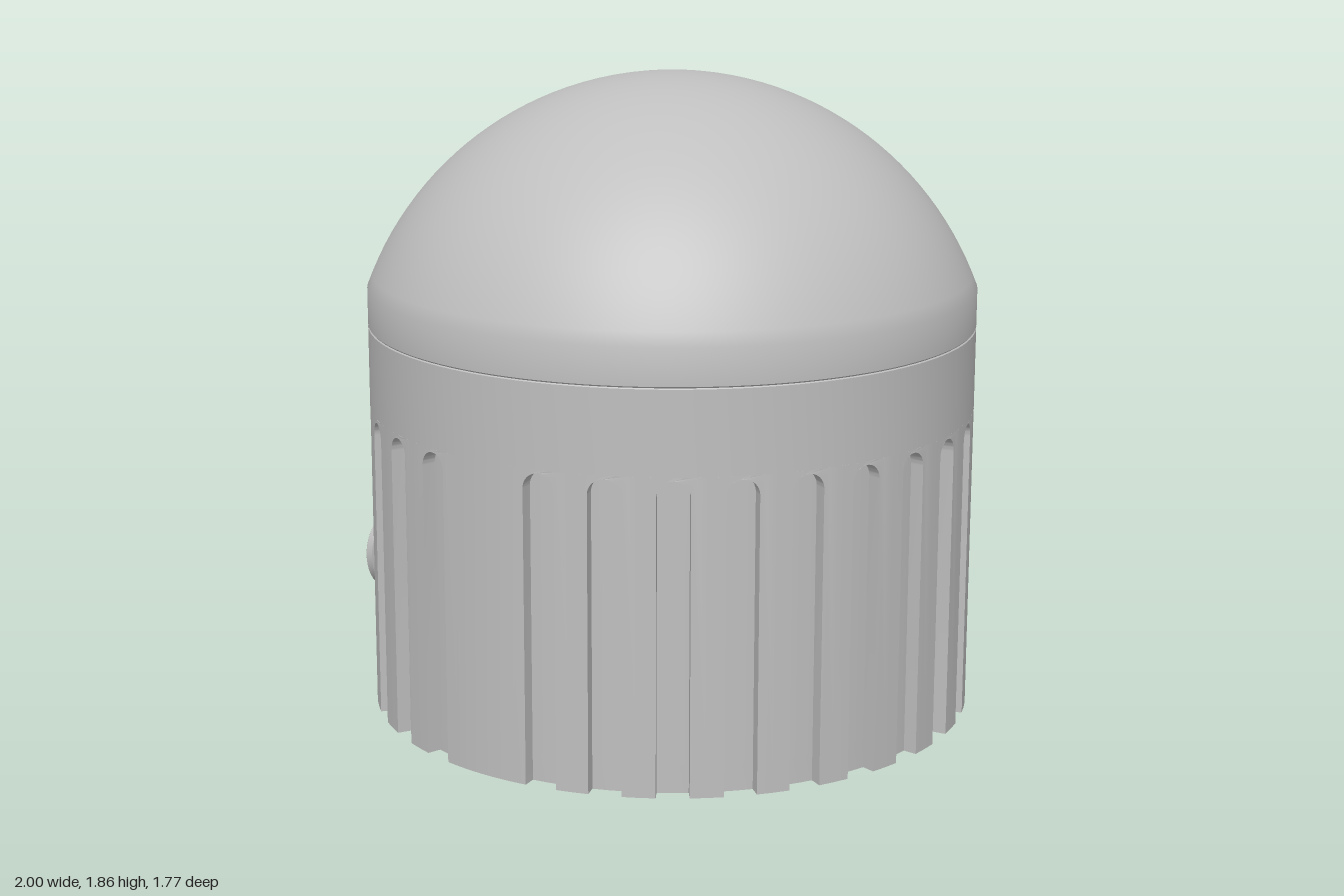
import * as THREE from 'three';
import { mergeGeometries, toCreasedNormals } from 'three/addons/utils/BufferGeometryUtils.js';

const CX = 0.113;          // housing axis
const R = 0.887;           // housing radius
const CORE = 0.847;        // slot floor radius
const FLAT_X = -0.755;     // flat mounting face on the connector side
const WALL_H = 0.9;
const STEP = Math.PI / 15; // 30 cells around

const V = (x, y) => new THREE.Vector2(x, y);

export function createModel() {
  const model = new THREE.Group();
  const grey = new THREE.MeshStandardMaterial({ color: 0xbfbfbf });
  grey.name = 'light grey';

  const add = (name, geo, x = CX, y = 0, z = 0) => {
    const mesh = new THREE.Mesh(geo, grey);
    mesh.name = name;
    mesh.position.set(x, y, z);
    model.add(mesh);
    return mesh;
  };
  const lathe = (pts, seg) => toCreasedNormals(new THREE.LatheGeometry(pts.map(p => V(...p)), seg), 0.5);
  // Turned part whose axis points out along -x
  const sideLathe = (name, pts, seg, x, y) => {
    add(name, lathe(pts, seg), x, y).rotation.z = Math.PI / 2;
  };

  // Wall cells: a slotted panel or a plain one, bent round the axis
  const w = (R * STEP) / 2, s = 0.046, depth = R - CORE + 0.002;
  const slotted = new THREE.Shape();
  slotted.moveTo(-w, 0);
  slotted.lineTo(-s, 0);
  slotted.lineTo(-s, 0.89 - s);
  slotted.absarc(0, 0.89 - s, s, Math.PI, 0, true);
  slotted.lineTo(s, 0);
  slotted.lineTo(w, 0);
  for (let i = 0; i <= 6; i++) slotted.lineTo(w - (i * w) / 3, WALL_H);

  const bend = (geo, phi) => {
    const p = geo.attributes.position;
    for (let i = 0; i < p.count; i++) {
      const a = phi + p.getX(i) / R, r = R - depth + p.getZ(i);
      p.setXYZ(i, Math.max(r * Math.sin(a), FLAT_X - CX), p.getY(i), r * Math.cos(a));
    }
    return geo;
  };
  const cells = [];
  for (let k = 0; k < 30; k++) {
    const plain = [0, 15, 22, 23].includes(k);
    const geo = plain
      ? new THREE.BoxGeometry(2 * w, WALL_H, depth, 6, 1, 1).translate(0, WALL_H / 2, depth / 2).toNonIndexed()
      : new THREE.ExtrudeGeometry(slotted, { depth, bevelEnabled: false, curveSegments: 12 });
    cells.push(bend(geo, k * STEP));
  }
  add('slottedWall', toCreasedNormals(mergeGeometries(cells), 0.4));

  // Inner core forming the slot floors
  add('core', new THREE.CylinderGeometry(CORE, CORE, WALL_H - 0.08, 120), CX, 0.08 + (WALL_H - 0.08) / 2);

  // Base ring with screw holes and a shallow recessed centre
  const base = new THREE.Shape();
  base.absarc(0, 0, CORE, 0, Math.PI * 2);
  const hole = (x, y, r) => {
    const path = new THREE.Path();
    path.absarc(x, y, r, 0, Math.PI * 2, true);
    base.holes.push(path);
  };
  hole(0, 0, 0.71);
  for (const deg of [0, 90, 120, 240, 270]) {
    const a = THREE.MathUtils.degToRad(deg);
    hole(0.803 * Math.cos(a), 0.803 * Math.sin(a), 0.038);
  }
  const baseGeo = new THREE.ExtrudeGeometry(base, { depth: 0.08, bevelEnabled: false, curveSegments: 60 });
  // shape y becomes +z, thickness runs up from the ground
  baseGeo.rotateX(Math.PI / 2).translate(0, 0.08, 0);
  add('baseRing', toCreasedNormals(baseGeo, 0.5));
  add('baseRecess', new THREE.CylinderGeometry(0.71, 0.71, 0.08, 96), CX, 0.046);

  // Plain collar above the slots
  add('collar', lathe([[0.83, WALL_H], [R, WALL_H], [R, 1.138], [R - 0.004, 1.142]], 120));

  // Dome: short straight skirt, then a spherical cap
  const cap = 0.613, rim = 1.25;
  const sr = (R * R + cap * cap) / (2 * cap), cy = rim + cap - sr;
  const a0 = Math.asin((rim - cy) / sr);
  const dome = [[R - 0.004, 1.14], [R, 1.145]];
  for (let i = 0; i <= 28; i++) {
    const a = a0 + ((Math.PI / 2 - a0) * i) / 28;
    dome.push([Math.max(sr * Math.cos(a), 0), cy + sr * Math.sin(a)]);
  }
  add('dome', lathe(dome, 120));

  // Vent button on the flat face, with a small centre hole
  sideLathe('ventButton',
    [[0.115, -0.01], [0.115, 0.008], [0.1, 0.018], [0.075, 0.022], [0.032, 0.022], [0.032, 0.008], [0, 0.008]],
    40, FLAT_X, 0.642);

  // Connector: flange, faceted nut, threaded hollow socket
  const CY = 0.24;
  sideLathe('connectorFlange', [[0.19, -0.02], [0.19, 0.014], [0.182, 0.022], [0, 0.022]], 48, FLAT_X, CY);
  const nr = 0.17 / Math.cos(Math.PI / 8);
  const nut = new THREE.LatheGeometry(
    [[nr, 0], [nr, 0.07], [nr - 0.012, 0.082], [0, 0.082]].map(p => V(...p)), 8);
  nut.rotateY(Math.PI / 8);
  const nutMesh = add('connectorNut', toCreasedNormals(nut, 0.3), FLAT_X - 0.02, CY);
  nutMesh.rotation.z = Math.PI / 2;

  const thread = [[0.126, 0]];
  for (let i = 0; i < 7; i++) {
    const y = 0.1 + i * 0.0165;
    thread.push([0.126, y], [0.138, y + 0.006], [0.138, y + 0.01], [0.126, y + 0.0155]);
  }
  thread.push([0.137, 0.218], [0.137, 0.241], [0.133, 0.245], [0.114, 0.245], [0.114, 0.1], [0, 0.1]);
  sideLathe('connectorSocket', thread, 48, FLAT_X, CY);

  return model;
}
